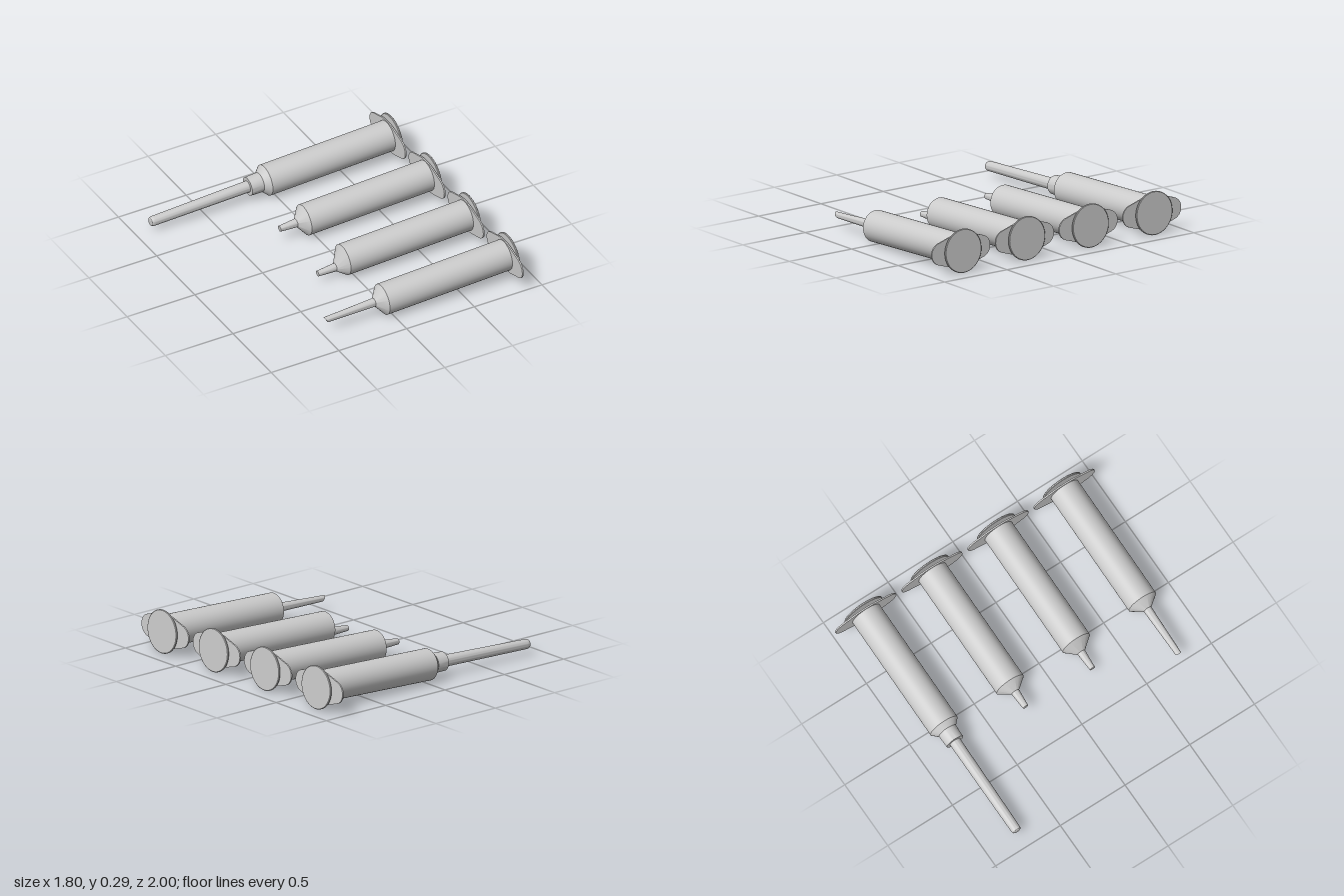
import * as THREE from 'three';
import { toCreasedNormals } from 'three/addons/utils/BufferGeometryUtils.js';

const material = new THREE.MeshStandardMaterial({ color: 0xcccccc });
const TILT = 0.0425;

// Surface of revolution about the x axis; points are [position along axis, radius].
function turned(points, name, bend) {
  const geo = new THREE.LatheGeometry(points.map(([u, r]) => new THREE.Vector2(r, u)), 40);
  geo.rotateZ(-Math.PI / 2);
  if (bend) {
    const p = geo.attributes.position;
    const v = new THREE.Vector3();
    for (let i = 0; i < p.count; i++) {
      bend(v.fromBufferAttribute(p, i));
      p.setXYZ(i, v.x, v.y, v.z);
    }
  }
  const mesh = new THREE.Mesh(toCreasedNormals(geo, 0.5), material);
  mesh.name = name;
  return mesh;
}

// Finger flange: round middle with two tapering rounded wings
function flange() {
  const s = new THREE.Shape();
  s.moveTo(0, 0.112);
  s.bezierCurveTo(0.06, 0.112, 0.08, 0.102, 0.12, 0.09);
  s.lineTo(0.185, 0.07);
  s.bezierCurveTo(0.25, 0.045, 0.25, -0.045, 0.185, -0.07);
  s.lineTo(0.12, -0.09);
  s.bezierCurveTo(0.08, -0.102, 0.06, -0.112, 0, -0.112);
  s.bezierCurveTo(-0.06, -0.112, -0.08, -0.102, -0.12, -0.09);
  s.lineTo(-0.185, -0.07);
  s.bezierCurveTo(-0.25, -0.045, -0.25, 0.045, -0.185, 0.07);
  s.lineTo(-0.12, 0.09);
  s.bezierCurveTo(-0.08, 0.102, -0.06, 0.112, 0, 0.112);
  const geo = new THREE.ExtrudeGeometry(s, { depth: 0.01, bevelEnabled: false, curveSegments: 10 });
  geo.rotateY(Math.PI / 2);
  const mesh = new THREE.Mesh(toCreasedNormals(geo, 0.5), material);
  mesh.name = 'fingerFlange';
  mesh.position.x = 0.905;
  return mesh;
}

// One syringe along x; the nozzle profile runs from its tip to the barrel shoulder.
function syringe(name, nozzle, bend) {
  const g = new THREE.Group();
  g.name = name;
  g.add(turned([...nozzle, [0, 0.105], [0.908, 0.105], [0.908, 0]], 'barrel', bend));
  g.add(flange());

  // Cross-ribbed plunger stem and its thumb disc
  for (const size of [[0.11, 0.016], [0.016, 0.11]]) {
    const rib = new THREE.Mesh(new THREE.BoxGeometry(0.04, ...size), material);
    rib.name = 'plungerRib';
    rib.position.x = 0.918;
    g.add(rib);
  }
  g.add(turned([[0.929, 0], [0.929, 0.141], [0.932, 0.145], [0.939, 0.145],
    [0.942, 0.141], [0.942, 0]], 'thumbDisc'));
  return g;
}

export function createModel() {
  const root = new THREE.Group();
  root.name = 'syringeSet';

  const cappedNeedle = [[-0.85, 0], [-0.85, 0.021], [-0.846, 0.028], [-0.838, 0.032],
    [-0.82, 0.033], [-0.128, 0.039], [-0.128, 0.063], [-0.04, 0.066]];
  const shortTip = [[-0.18, 0], [-0.18, 0.02], [-0.06, 0.029]];
  const offsetTip = [[-0.19, 0], [-0.19, 0.019], [-0.06, 0.028]];
  const longTip = [[-0.415, 0], [-0.415, 0.02], [-0.3, 0.0225], [-0.06, 0.029]];

  // Nozzle dropped below the barrel axis
  const lower = (v) => { v.y -= 0.037 * THREE.MathUtils.clamp(-v.x / 0.06, 0, 1); };
  // Nozzle end cut at a slant
  const slant = (v) => { if (v.x < -0.4) v.x -= 0.6 * v.y; };

  const set = [
    syringe('cappedNeedleSyringe', cappedNeedle),
    syringe('centredTipSyringe', shortTip),
    syringe('offsetTipSyringe', offsetTip, lower),
    syringe('longTipSyringe', longTip, slant),
  ];
  set.forEach((s, i) => {
    s.position.set(-0.05, 0.106, (i - 1.5) * 0.511);
    s.rotation.z = TILT;
    root.add(s);
  });
  return root;
}
